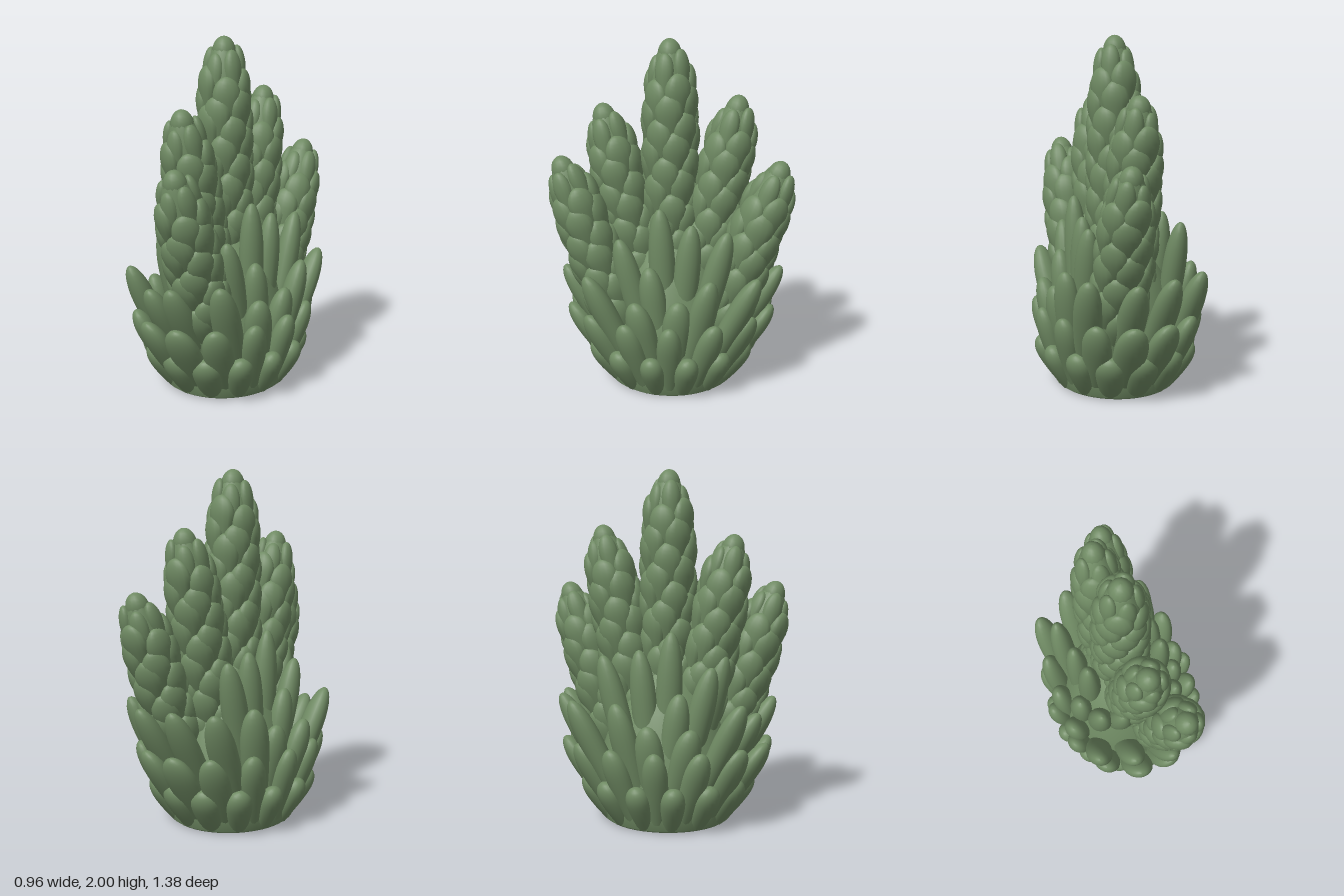
import * as THREE from 'three';

const V = (x, y, z) => new THREE.Vector3(x, y, z);
const green = new THREE.MeshStandardMaterial({ color: 0x6f8a63 });

// Unit petal: runs from y = 0 to 1, half width and half depth 1, widest above the middle, blunt tip
function petalGeometry(around, along, rootWidth, tipStart) {
  const profile = [];
  for (let i = 0; i <= along; i++) {
    const t = (1 - Math.cos((Math.PI * i) / along)) / 2;
    const grow = rootWidth + (1 - rootWidth) * Math.sin(Math.min(t / 0.65, 1) * Math.PI / 2);
    const u = Math.max(0, (t - tipStart) / (1 - tipStart));
    profile.push(new THREE.Vector2(grow * Math.pow(Math.max(0, 1 - u ** 2.3), 0.5), t));
  }
  return new THREE.LatheGeometry(profile, around);
}
const leafGeometry = petalGeometry(18, 18, 0.68, 0.62);
const bractGeometry = petalGeometry(14, 14, 0.6, 0.45);

// Stretches a petal from root to tip with its flat side facing outward
function addPetal(group, geometry, name, root, tip, outward, halfWidth, halfDepth) {
  const axis = tip.clone().sub(root);
  const up = axis.clone().normalize();
  const out = outward.clone().addScaledVector(up, -outward.dot(up)).normalize();
  const side = up.clone().cross(out);
  const mesh = new THREE.Mesh(geometry, green);
  mesh.name = name;
  new THREE.Matrix4()
    .makeBasis(side.multiplyScalar(halfWidth), axis, out.multiplyScalar(halfDepth))
    .setPosition(root)
    .decompose(mesh.position, mesh.quaternion, mesh.scale);
  group.add(mesh);
}

// Flower spike: a tapered core wrapped in staggered rings of plump bracts
function createSpike(root, tip) {
  const spike = new THREE.Group();
  spike.name = 'flowerSpike';
  const length = tip.distanceTo(root);
  const radius = (d) => 0.155 * (1 - Math.exp(-(d + 0.02) / 0.14)) + 0.012 * d;

  const profile = [];
  for (let i = 0; i <= 20; i++) {
    const d = 0.03 + (length - 0.03) * (i / 20) ** 1.5;
    profile.unshift(new THREE.Vector2(i ? radius(d) * 0.84 : 0, length - d));
  }
  const core = new THREE.Mesh(new THREE.LatheGeometry(profile, 20), green);
  core.name = 'spikeCore';
  spike.add(core);

  addPetal(spike, bractGeometry, 'tipBract', V(0, length - 0.2, 0), V(0, length, 0), V(0, 0, 1), 0.068, 0.068);
  let ring = 0;
  for (let d = 0.07; d < length - 0.3; d += 0.105) {
    for (let i = 0; i < 5; i++) {
      const a = ((i + (ring % 2) / 2) / 5) * Math.PI * 2 + ring * 0.15;
      const out = V(Math.sin(a), 0, Math.cos(a));
      const drop = (ring ? 0.018 : 0.01) * ((i * 2) % 5 - 2);
      const low = out.clone().multiplyScalar(radius(d + 0.22) * 0.66).setY(length - d - 0.23 + drop);
      const high = out.clone().multiplyScalar(radius(d + 0.02) * 0.84).setY(length - d + drop);
      addPetal(spike, bractGeometry, 'bract', low, high, out, ring ? 0.08 : 0.055, ring ? 0.047 : 0.04);
    }
    ring++;
  }
  spike.position.copy(root);
  spike.quaternion.setFromUnitVectors(V(0, 1, 0), tip.clone().sub(root).normalize());
  return spike;
}

export function createModel() {
  const plant = new THREE.Group();
  plant.name = 'plant';

  // Solid mound with a flat underside
  const moundProfile = [[0, 0], [0.33, 0], [0.35, 0.015], [0.37, 0.1], [0.38, 0.22], [0.35, 0.42], [0.28, 0.65], [0.16, 0.86], [0, 0.94]]
    .map(([r, y]) => new THREE.Vector2(r, y));
  const mound = new THREE.Mesh(new THREE.LatheGeometry(moundProfile, 48), green);
  mound.name = 'mound';
  mound.scale.z = 1.06;
  plant.add(mound);

  // Flower spikes, fanned out from front to back
  [
    [V(0, 0.3, 0), V(0, 2, 0.01)],
    [V(0, 0.3, 0.1), V(0, 1.64, 0.39)],
    [V(0, 0.3, -0.1), V(0, 1.69, -0.38)],
    [V(0.1, 0.25, 0.24), V(0.135, 1.37, 0.62)],
    [V(0.1, 0.25, -0.24), V(0.135, 1.35, -0.62)],
  ].forEach(([root, tip]) => plant.add(createSpike(root, tip)));

  const leaves = new THREE.Group();
  leaves.name = 'leaves';
  plant.add(leaves);

  // Two lower rings of short leaves, the second set between the first
  const rings = [
    { shift: 0, rootY: 0.03, rootX: 0.315, rootZ: 0.33, tipY: 0.275, tipX: 0.445, tipZ: 0.49, width: 0.09 },
    { shift: 0.5, rootY: 0.06, rootX: 0.32, rootZ: 0.32, tipY: 0.475, tipX: 0.45, tipZ: 0.6, width: 0.095 },
  ];
  for (const r of rings) {
    for (let i = 0; i < 14; i++) {
      const a = ((i + r.shift) / 14) * Math.PI * 2;
      const s = Math.sin(a), c = Math.cos(a);
      addPetal(leaves, leafGeometry, 'lowerLeaf', V(s * r.rootX, r.rootY, c * r.rootZ),
        V(s * r.tipX, r.tipY, c * r.tipZ), V(s, 0, c), r.width * (1 - 0.25 * s * s), 0.06);
    }
  }

  // Middle and upper leaf tips; those in the paired lists grow on both sides
  const both = (tips) => tips.flatMap(([x, y, z]) => [[x, y, z], [-x, y, z]]);
  const middle = [
    [-0.12, 0.65, 0.54], [0.09, 0.71, 0.61], [-0.12, 0.73, -0.6], [0.1, 0.72, -0.63],
    ...both([[0.32, 0.73, 0.47], [0.33, 0.73, -0.49], [0.38, 0.73, -0.23], [0.385, 0.6, 0.2], [0.39, 0.61, -0.05]]),
  ];
  const upper = [
    [-0.12, 0.97, 0.35], [-0.22, 1.11, 0.06], [0.23, 1.1, 0.06],
    ...both([[0.23, 0.92, 0.29], [0.27, 0.98, -0.32], [0.24, 1.01, -0.12], [0.3, 0.78, 0.12]]),
  ];
  for (const [x, y, z] of middle) {
    addPetal(leaves, leafGeometry, 'middleLeaf', V(x * 0.75, 0.12, z * 0.42), V(x, y, z), V(x, 0, z), 0.082, 0.066);
  }
  for (const [x, y, z] of upper) {
    addPetal(leaves, leafGeometry, 'upperLeaf', V(x * 0.9, 0.22, z * 0.4), V(x, y, z), V(x, 0, z * 0.5), 0.074, 0.066);
  }
  return plant;
}
